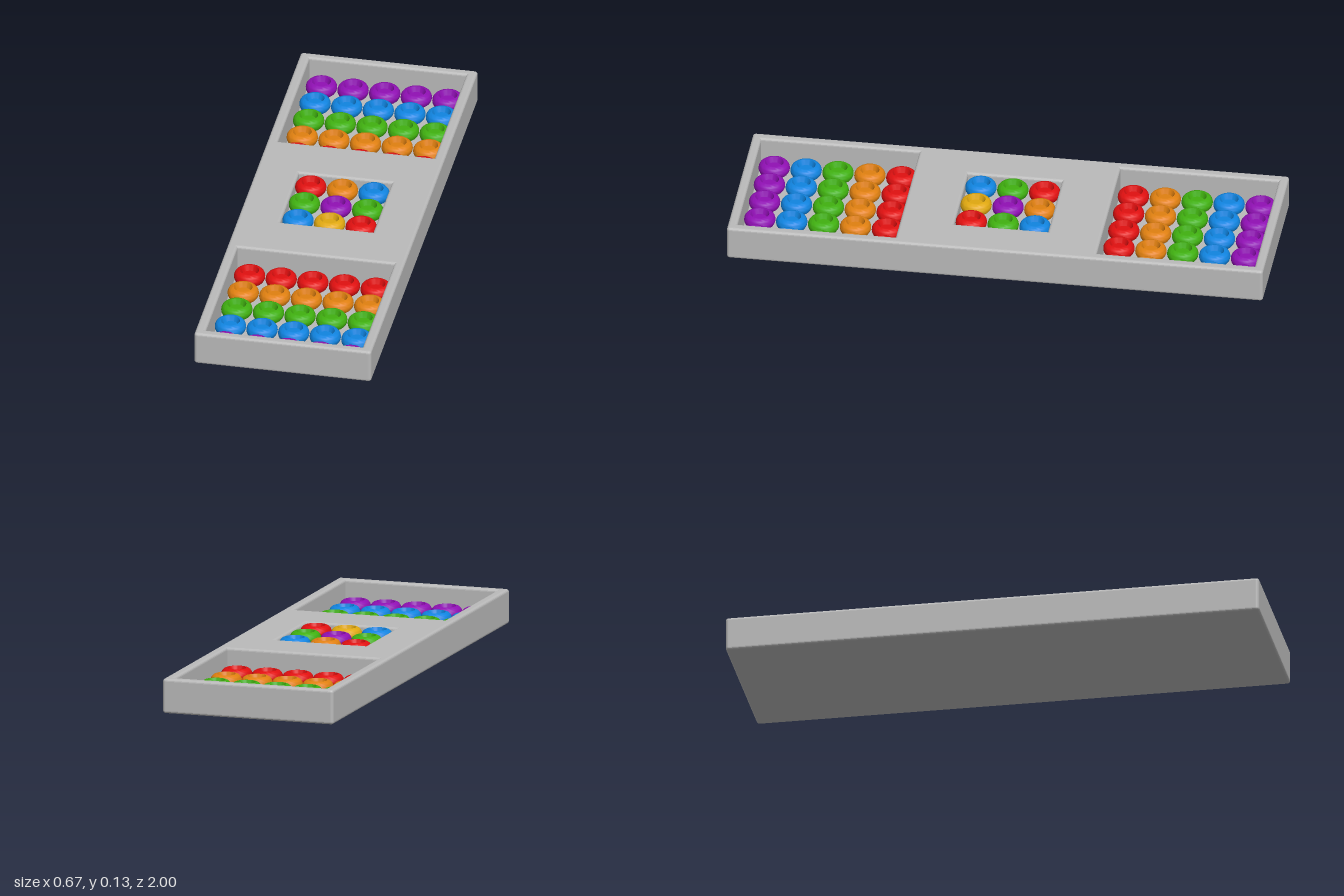
import * as THREE from 'three';
import { toCreasedNormals } from 'three/addons/utils/BufferGeometryUtils.js';

const mat = (name, color) => {
  const m = new THREE.MeshStandardMaterial({ color });
  m.name = name;
  return m;
};

const HEIGHT = 0.13, BEVEL = 0.01, PITCH = 0.119;

// Rectangle path centred on (0, z), with optional rounded corners
function rectPath(path, w, d, z, r) {
  const x = w / 2, a = z - d / 2, b = z + d / 2;
  path.moveTo(-x + r, a);
  path.lineTo(x - r, a);
  if (r) path.absarc(x - r, a + r, r, -Math.PI / 2, 0);
  path.lineTo(x, b - r);
  if (r) path.absarc(x - r, b - r, r, 0, Math.PI / 2);
  path.lineTo(-x + r, b);
  if (r) path.absarc(-x + r, b - r, r, Math.PI / 2, Math.PI);
  path.lineTo(-x, a + r);
  if (r) path.absarc(-x + r, a + r, r, Math.PI, Math.PI * 1.5);
  path.closePath();
  return path;
}

// Flat-bottomed round bead with a bulging side and a dimple in the top
function beadGeometry() {
  const pts = [new THREE.Vector2(0, 0)];
  for (let i = 0; i <= 12; i++) {
    const t = -Math.PI / 2 + (Math.PI * i) / 12;
    pts.push(new THREE.Vector2(0.035 + 0.023 * Math.cos(t), 0.025 + 0.025 * Math.sin(t)));
  }
  pts.push(new THREE.Vector2(0.027, 0.03), new THREE.Vector2(0, 0.03));
  return toCreasedNormals(new THREE.LatheGeometry(pts, 32), 0.6);
}

export function createModel() {
  const model = new THREE.Group();
  model.name = 'beadTray';

  const gray = mat('trayGray', 0xbababa);
  const red = mat('red', 0xe01010);
  const orange = mat('orange', 0xe08010);
  const yellow = mat('yellow', 0xe0a810);
  const green = mat('green', 0x40b010);
  const blue = mat('blue', 0x1084e0);
  const purple = mat('purple', 0x9010b4);

  // Wells: opening, floor height and bead colours, rows from back to front
  const rainbow = [red, orange, green, blue, purple].map((m) => Array(5).fill(m));
  const wells = [
    { name: 'back', w: 0.59, d: 0.59, z: -0.67, floor: 0.02, rows: [...rainbow].reverse() },
    { name: 'centre', w: 0.35, d: 0.35, z: 0, floor: 0.083,
      rows: [[red, orange, blue], [green, purple, green], [blue, yellow, red]] },
    { name: 'front', w: 0.59, d: 0.59, z: 0.67, floor: 0.02, rows: rainbow },
  ];

  // Tray frame with softened edges and three openings
  const shape = rectPath(new THREE.Shape(), 0.666, 2, 0, 0.012);
  for (const s of wells) shape.holes.push(rectPath(new THREE.Path(), s.w, s.d, s.z, 0));
  const frameGeo = new THREE.ExtrudeGeometry(shape, {
    depth: HEIGHT - 2 * BEVEL, curveSegments: 4,
    bevelEnabled: true, bevelThickness: BEVEL, bevelSize: BEVEL, bevelOffset: -BEVEL, bevelSegments: 4,
  });
  frameGeo.rotateX(Math.PI / 2).translate(0, HEIGHT - BEVEL, 0);
  const frame = new THREE.Mesh(frameGeo, gray);
  frame.name = 'trayFrame';
  model.add(frame);

  const bead = beadGeometry();
  for (const s of wells) {
    // Floor closing the well from below
    const floor = new THREE.Mesh(
      new THREE.BoxGeometry(s.w + 2 * BEVEL, s.floor, s.d + 2 * BEVEL), gray);
    floor.position.set(0, s.floor / 2, s.z);
    floor.name = s.name + 'WellFloor';
    model.add(floor);

    // Square grid of beads
    const beads = new THREE.Group();
    beads.name = s.name + 'Beads';
    const mid = (s.rows.length - 1) / 2;
    s.rows.forEach((row, j) => row.forEach((m, i) => {
      const b = new THREE.Mesh(bead, m);
      b.name = m.name + 'Bead';
      b.position.set((i - mid) * PITCH, s.floor, s.z + (j - mid) * PITCH);
      beads.add(b);
    }));
    model.add(beads);
  }
  return model;
}
